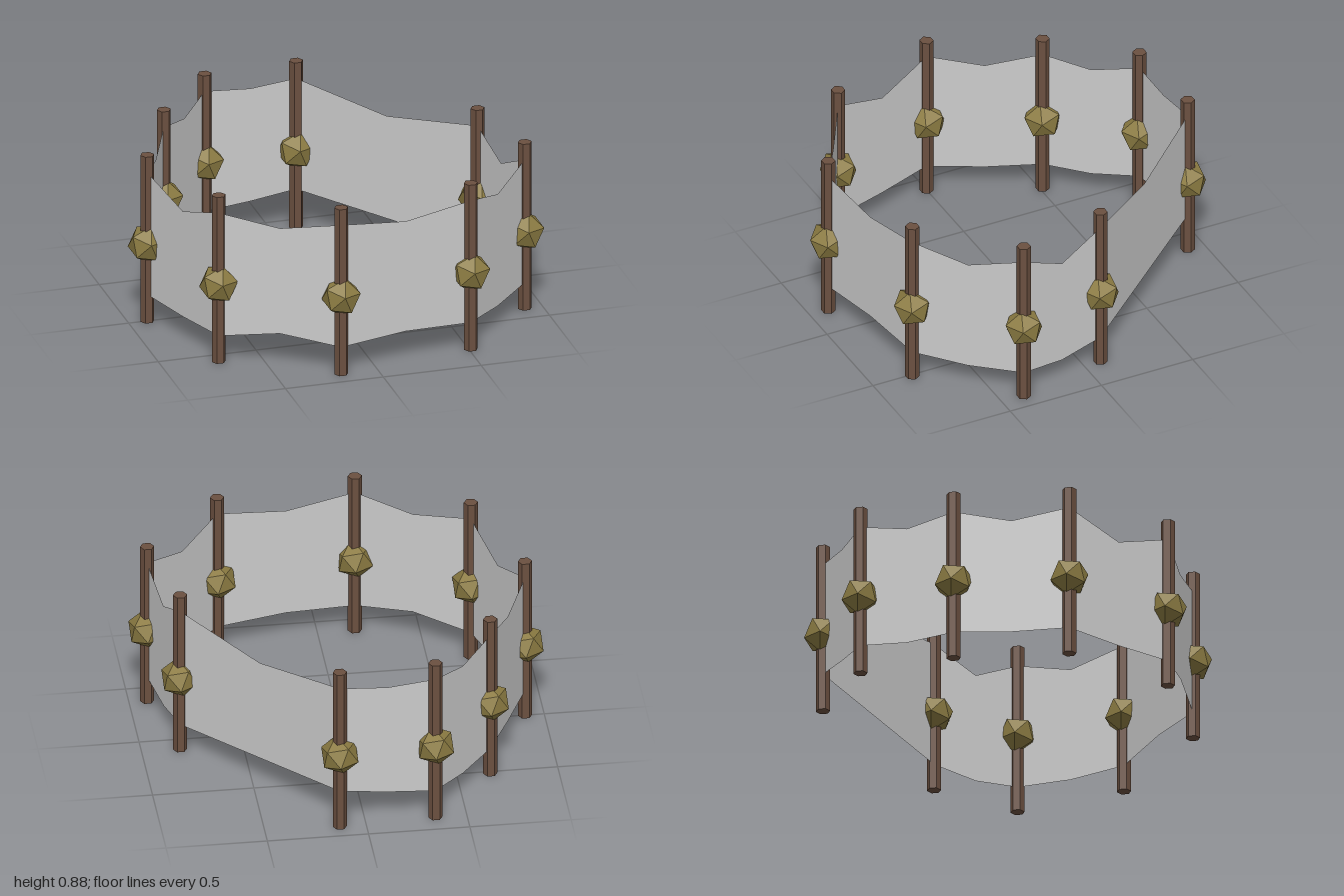
import * as THREE from 'three';

// Each post: x, z, cloth bottom at the post, then cloth bottom and top midway to the next post
const POSTS = [
  [-0.185, 0.9, 0.14, 0.16, 0.745],
  [0.51, 0.79, 0.14, 0.12, 0.715],
  [0.91, 0.38, 0.135, 0.11, 0.68],
  [0.81, -0.09, 0.14, 0.17, 0.715],
  [0.13, -0.91, 0.2, 0.17, 0.77],
  [-0.345, -0.885, 0.15, 0.125, 0.74],
  [-0.665, -0.515, 0.14, 0.13, 0.73],
  [-0.905, 0, 0.14, 0.13, 0.69],
  [-0.715, 0.58, 0.135, 0.18, 0.74],
];
const HEIGHT = 0.885, CLOTH_TOP = 0.79, KNOT_Y = 0.412;

// Closed ring of cloth, sagging between the posts
function clothGeometry() {
  const pos = [], idx = [];
  POSTS.forEach(([x, z, low, midLow, midTop], i) => {
    const [nx, nz] = POSTS[(i + 1) % POSTS.length];
    const mx = (x + nx) / 2, mz = (z + nz) / 2;
    pos.push(x, low, z, x, CLOTH_TOP, z, mx, midLow, mz, mx, midTop, mz);
  });
  const columns = POSTS.length * 2;
  for (let i = 0; i < columns; i++) {
    const a = i * 2, b = ((i + 1) % columns) * 2;
    idx.push(a, b, b + 1, a, b + 1, a + 1);
  }
  const geo = new THREE.BufferGeometry();
  geo.setAttribute('position', new THREE.Float32BufferAttribute(pos, 3));
  geo.setIndex(idx);
  const flat = geo.toNonIndexed();
  flat.computeVertexNormals();
  return flat;
}

export function createModel() {
  const model = new THREE.Group();
  model.name = 'fence';
  const wood = new THREE.MeshStandardMaterial({ color: 0x6b5040, flatShading: true });
  const rope = new THREE.MeshStandardMaterial({ color: 0x8b7b42, flatShading: true });
  const fabric = new THREE.MeshStandardMaterial({ color: 0xcccccc, flatShading: true, side: THREE.DoubleSide });

  const postGeo = new THREE.CylinderGeometry(0.035, 0.035, HEIGHT, 6).rotateY(Math.PI / 6);

  // Faceted knot: corner turned upward, then leaned slightly
  const lean = new THREE.Matrix4().makeRotationAxis(new THREE.Vector3(0.8, 0, -0.6), 0.26);
  const knotGeo = new THREE.IcosahedronGeometry(0.1, 0)
    .rotateZ(-Math.atan(2 / (1 + Math.sqrt(5))))
    .rotateY(-0.45)
    .applyMatrix4(lean);

  POSTS.forEach(([x, z], i) => {
    const stake = new THREE.Group();
    stake.name = `stake${i + 1}`;
    stake.position.set(x, 0, z);
    const post = new THREE.Mesh(postGeo, wood);
    post.name = 'post';
    post.position.y = HEIGHT / 2;
    const knot = new THREE.Mesh(knotGeo, rope);
    knot.name = 'knot';
    knot.position.y = KNOT_Y;
    stake.add(post, knot);
    model.add(stake);
  });

  const cloth = new THREE.Mesh(clothGeometry(), fabric);
  cloth.name = 'cloth';
  model.add(cloth);
  return model;
}
